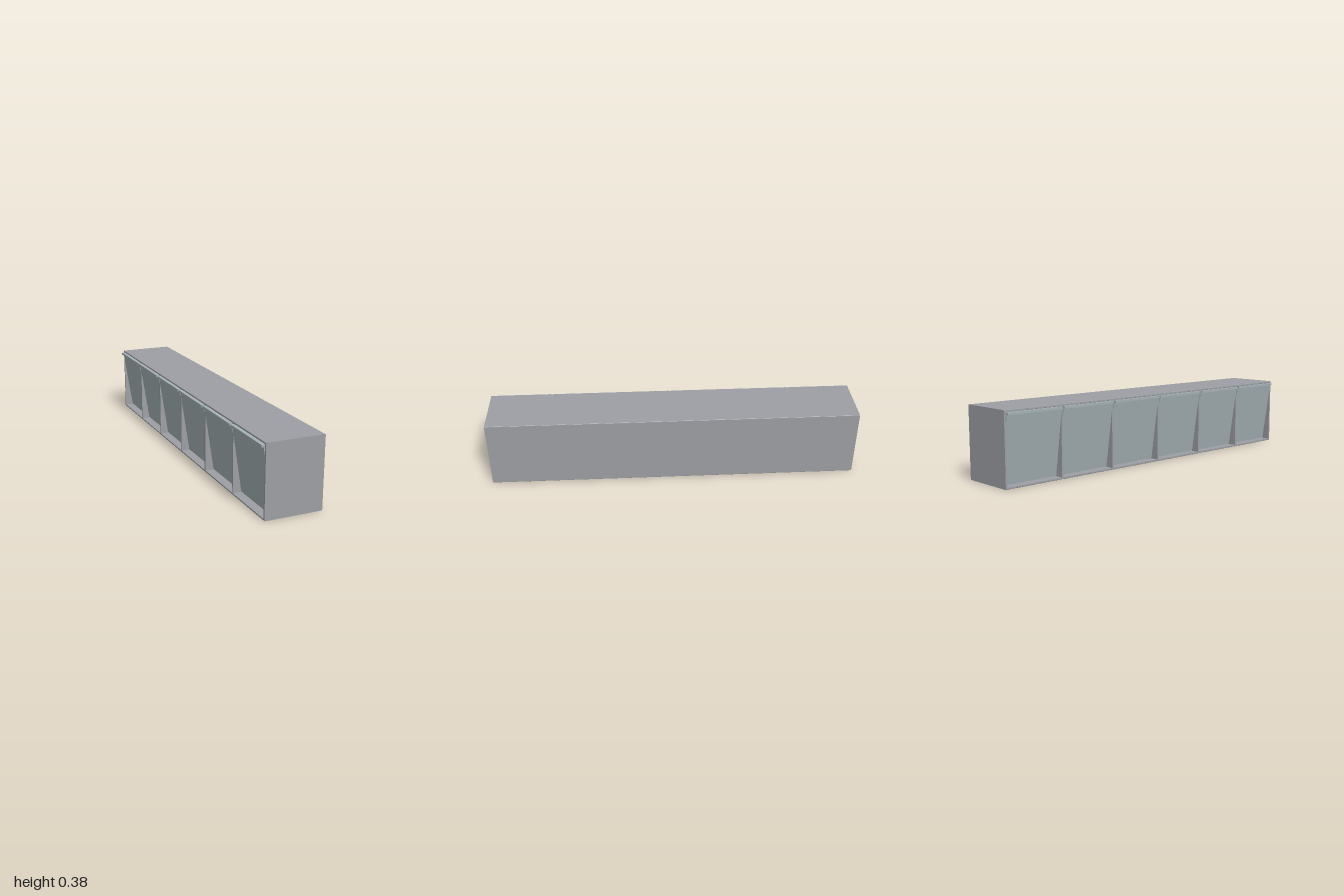
import * as THREE from 'three';

const LEFT = -0.143, RIGHT = 0.16, TOP = 0.375, WALL = 0.009, LENGTH = 2, BAYS = 6;

export function createModel() {
  const model = new THREE.Group();
  const bodyGrey = new THREE.MeshStandardMaterial({ color: 0x9c9fa4 });
  bodyGrey.name = 'bodyGrey';
  const doorGrey = new THREE.MeshStandardMaterial({ color: 0xa6b2b6 });
  doorGrey.name = 'doorGrey';

  // Extrudes a profile drawn in x and y along z, from z0 to z1
  function addProfile(name, shape, z0, z1, material, parent = model) {
    const geometry = new THREE.ExtrudeGeometry(shape, { depth: z1 - z0, bevelEnabled: false, curveSegments: 3 });
    const mesh = new THREE.Mesh(geometry, material);
    mesh.name = name;
    mesh.position.z = z0;
    parent.add(mesh);
  }
  const polygon = (points) => new THREE.Shape(points.map(([x, y]) => new THREE.Vector2(x, y)));

  // Cabinet outline with slightly softened corners
  const r = 0.003;
  const outline = new THREE.Shape();
  outline.moveTo(LEFT + r, 0);
  outline.lineTo(RIGHT - r, 0);
  outline.quadraticCurveTo(RIGHT, 0, RIGHT, r);
  outline.lineTo(RIGHT, TOP - r);
  outline.quadraticCurveTo(RIGHT, TOP, RIGHT - r, TOP);
  outline.lineTo(LEFT + r, TOP);
  outline.quadraticCurveTo(LEFT, TOP, LEFT, TOP - r);
  outline.lineTo(LEFT, r);
  outline.quadraticCurveTo(LEFT, 0, LEFT + r, 0);

  // Floor, long wall and roof in one channel, open on the door side
  const channel = new THREE.Shape();
  channel.moveTo(LEFT + r, 0);
  channel.lineTo(RIGHT - r, 0);
  channel.quadraticCurveTo(RIGHT, 0, RIGHT, r);
  channel.lineTo(RIGHT, TOP - r);
  channel.quadraticCurveTo(RIGHT, TOP, RIGHT - r, TOP);
  channel.lineTo(LEFT + r, TOP);
  channel.quadraticCurveTo(LEFT, TOP, LEFT, TOP - r);
  channel.lineTo(LEFT, TOP - WALL);
  channel.lineTo(RIGHT - WALL, TOP - WALL);
  channel.lineTo(RIGHT - WALL, WALL);
  channel.lineTo(LEFT, WALL);
  channel.lineTo(LEFT, r);
  channel.quadraticCurveTo(LEFT, 0, LEFT + r, 0);

  const half = LENGTH / 2;
  addProfile('cabinetShell', channel, -half + WALL, half - WALL, bodyGrey);
  addProfile('backEndWall', outline, -half, -half + WALL, bodyGrey);
  addProfile('frontEndWall', outline, half - WALL, half, bodyGrey);

  // Dividers between the bays
  const pitch = (LENGTH - WALL) / BAYS;
  const wallZ = (i) => -half + WALL / 2 + i * pitch;
  const divider = polygon([[LEFT, WALL], [RIGHT - WALL, WALL], [RIGHT - WALL, TOP - WALL], [LEFT, TOP - WALL]]);
  for (let i = 1; i < BAYS; i++) {
    addProfile('divider', divider, wallZ(i) - WALL / 2, wallZ(i) + WALL / 2, bodyGrey);
  }

  // Doors leaning inwards at the foot, each with a grip rail along its top
  const panel = polygon([[-0.149, 0.352], [-0.097, 0.011], [-0.091, 0.011], [-0.143, 0.352]]);
  const rail = polygon([[-0.16, 0.352], [-0.14, 0.352], [-0.14, 0.364], [-0.16, 0.364]]);
  for (let i = 0; i < BAYS; i++) {
    const door = new THREE.Group();
    door.name = 'door';
    const z0 = wallZ(i) + 0.006, z1 = wallZ(i + 1) - 0.006;
    addProfile('doorPanel', panel, z0, z1, doorGrey, door);
    addProfile('gripRail', rail, z0, z1, doorGrey, door);
    model.add(door);
  }
  return model;
}
